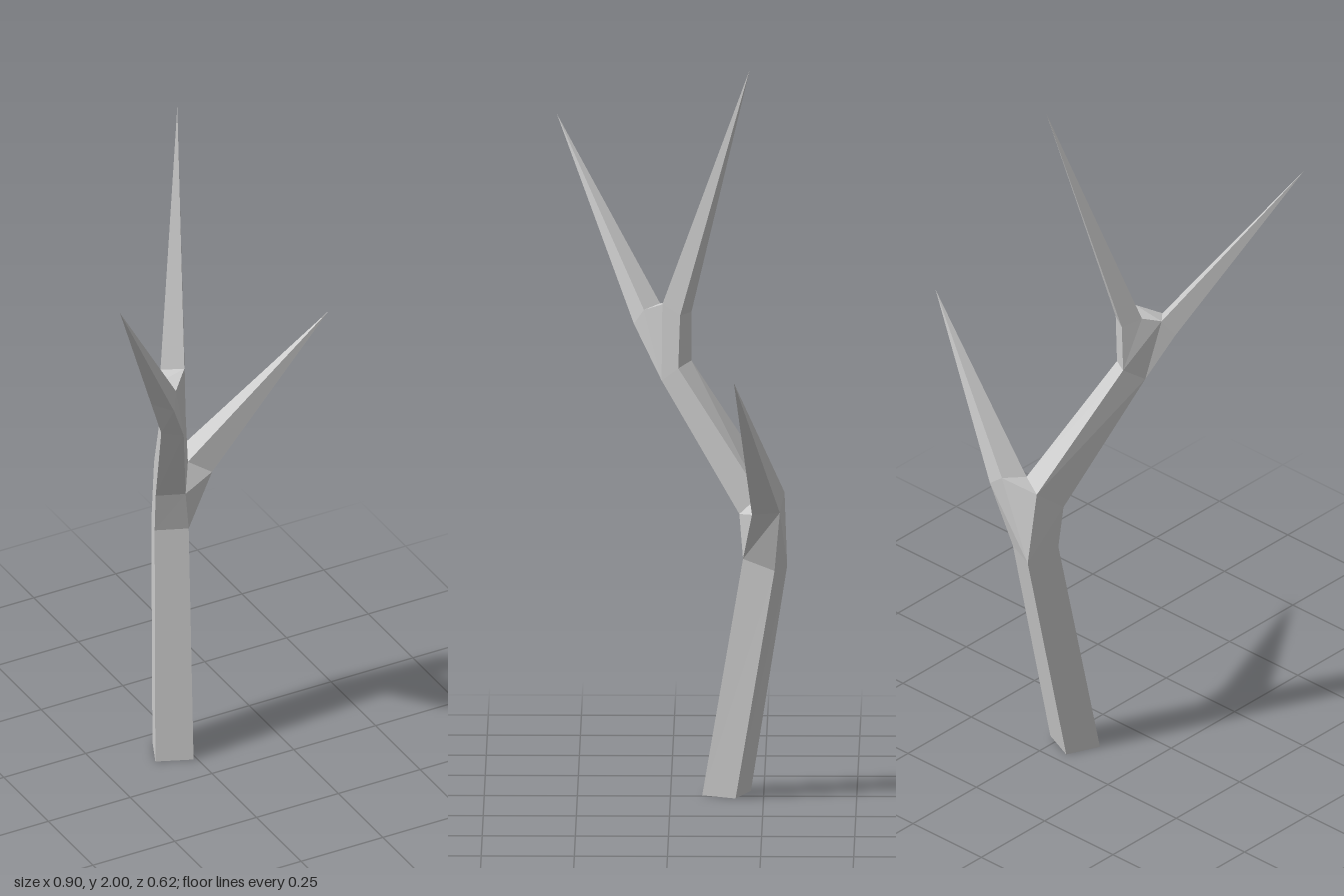
import * as THREE from 'three';

const material = new THREE.MeshStandardMaterial({ color: 0xcccccc, flatShading: true });

// Mesh from convex polygons whose corners run counter-clockwise seen from outside
function polyMesh(name, polygons) {
  const positions = [];
  for (const p of polygons) {
    for (let i = 1; i < p.length - 1; i++) positions.push(...p[0], ...p[i], ...p[i + 1]);
  }
  const geometry = new THREE.BufferGeometry();
  geometry.setAttribute('position', new THREE.Float32BufferAttribute(positions, 3));
  geometry.computeVertexNormals();
  const mesh = new THREE.Mesh(geometry, material);
  mesh.name = name;
  return mesh;
}

// Four side walls joining two rings
const tube = (a, b) => a.map((p, i) => [p, a[(i + 1) % 4], b[(i + 1) % 4], b[i]]);

// Four walls closing a ring to a point
const spike = (ring, tip) => ring.map((p, i) => [p, ring[(i + 1) % 4], tip]);

export function createModel() {
  const group = new THREE.Group();
  group.name = 'bareTree';

  // Rings run left, front, right, back
  const base = [[-0.105, 0, -0.125], [-0.01, 0, -0.085], [0.03, 0, -0.175], [-0.065, 0, -0.215]];
  const trunkTop = [[-0.05, 0.66, -0.23], [0.035, 0.66, -0.195], [0.07, 0.635, -0.28], [-0.015, 0.63, -0.313]];
  const limbStart = [[-0.055, 0.78, -0.215], [0.02, 0.78, -0.185], [0.057, 0.84, -0.24], [-0.022, 0.838, -0.285]];
  const limbEnd = [[-0.155, 1.13, 0], [-0.1, 1.12, 0.025], [-0.07, 1.16, -0.02], [-0.125, 1.17, -0.055]];

  // Ring at the foot of each pointed branch
  const sideRing = [[0.12, 0.8, -0.22], [0.14, 0.81, -0.295], [0.085, 0.855, -0.307], limbStart[2]];
  const leftRing = [[-0.215, 1.27, 0.055], [-0.17, 1.26, 0.1], [-0.15, 1.303, 0.073], [-0.187, 1.313, 0.03]];
  const topRing = [[-0.152, 1.325, -0.01], [-0.097, 1.33, 0.023], [-0.07, 1.305, -0.025], [-0.12, 1.305, -0.055]];

  group.add(polyMesh('trunk', [...tube(base, trunkTop), [...base].reverse()]));

  // Lower fork: trunk splits into the main limb and the side branch
  {
    const [L, F, R, B] = trunkTop;
    const [mL, mF, mR, mB] = limbStart;
    const [lowFront, lowBack, upBack] = sideRing;
    group.add(polyMesh('lowerFork', [
      [L, F, mF, mL], [B, L, mL, mB], [F, R, lowBack, lowFront], [F, lowFront, mF],
      [R, B, lowBack], [B, upBack, lowBack], [B, mB, upBack], [mB, mR, upBack], [mF, lowFront, mR],
    ]));
  }

  group.add(polyMesh('mainLimb', tube(limbStart, limbEnd)));

  // Upper fork: limb splits into two branches with a small saddle between
  {
    const [L, F, R, B] = limbEnd;
    const [lowL, lowF, upF, upL] = leftRing;
    const [tL, tF, tR, tB] = topRing;
    group.add(polyMesh('upperFork', [
      [L, F, lowF, lowL], [R, B, tB, tR],
      [F, R, tF, upF], [R, tR, tF], [F, upF, lowF],
      [B, L, upL, tL], [L, lowL, upL], [B, tL, tB],
      [upL, upF, tF, tL],
    ]));
  }

  // Pointed branches
  group.add(polyMesh('sideBranch', spike(sideRing, [0.45, 1.235, -0.175])));
  group.add(polyMesh('frontBranch', spike(leftRing, [-0.45, 1.775, 0.31])));
  group.add(polyMesh('topBranch', spike(topRing, [0.01, 2, -0.213])));

  return group;
}
